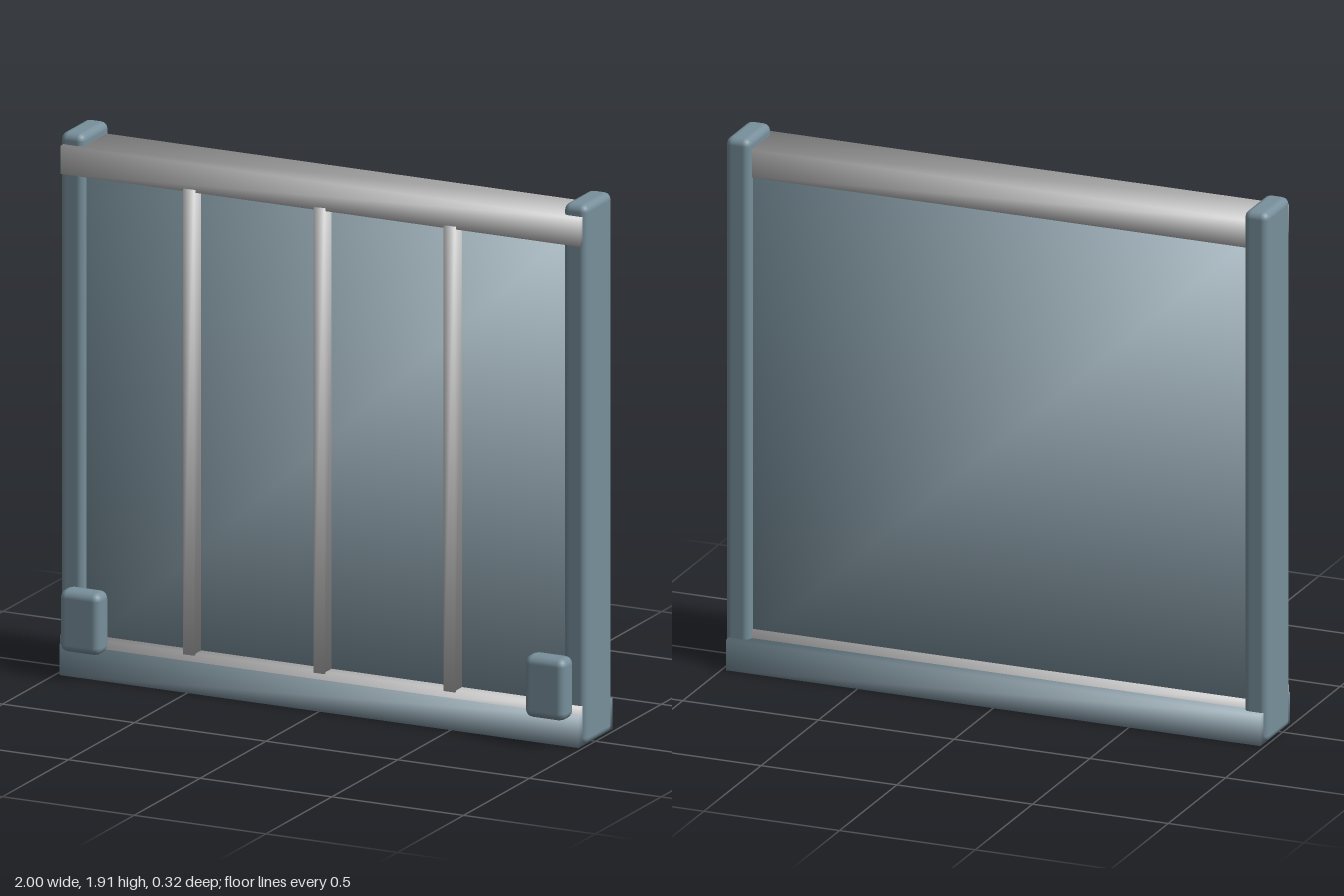
import * as THREE from 'three';
import { RoundedBoxGeometry } from 'three/addons/geometries/RoundedBoxGeometry.js';

// Box spanning lo..hi whose corner normals point outward, for soft shading
function softBox(lo, hi) {
  const size = hi.map((v, i) => v - lo[i]);
  const geo = new THREE.BoxGeometry(...size);
  const p = geo.attributes.position;
  const n = new THREE.Vector3();
  for (let i = 0; i < p.count; i++) {
    n.set(Math.sign(p.getX(i)), Math.sign(p.getY(i)), Math.sign(p.getZ(i))).normalize();
    geo.attributes.normal.setXYZ(i, n.x, n.y, n.z);
  }
  return geo.translate(...lo.map((v, i) => v + size[i] / 2));
}

// Rounded block spanning lo..hi
function roundBox(lo, hi, radius) {
  const size = hi.map((v, i) => v - lo[i]);
  return new RoundedBoxGeometry(...size, 2, radius).translate(...lo.map((v, i) => v + size[i] / 2));
}

export function createModel() {
  const model = new THREE.Group();
  const slate = new THREE.MeshStandardMaterial({ color: 0x78909c });
  slate.name = 'slate blue';
  const silver = new THREE.MeshStandardMaterial({ color: 0xbdbdbd });
  silver.name = 'silver grey';

  const add = (name, geo, mat) => {
    const mesh = new THREE.Mesh(geo, mat);
    mesh.name = name;
    model.add(mesh);
  };

  // Main wall panel
  add('panel', softBox([-0.95, 0.06, -0.1], [0.95, 1.82, 0.045]), slate);

  // Base channel and the two light rails
  add('baseChannel', softBox([-0.985, 0, -0.16], [0.985, 0.11, 0.1]), slate);
  add('lowerRail', softBox([-0.985, 0.04, -0.11], [0.985, 0.14, 0.09]), silver);
  add('upperRail', softBox([-0.985, 1.77, -0.11], [0.985, 1.87, 0.09]), silver);

  // Vertical ribs on the front
  for (const x of [-0.495, 0, 0.495]) {
    add('rib', softBox([x - 0.021, 0.135, 0.03], [x + 0.021, 1.78, 0.1]), silver);
  }

  // Side posts and corner blocks, mirrored
  for (const [side, s] of [['left', 1], ['right', -1]]) {
    const span = (a, b) => (s > 0 ? [a, b] : [-b, -a]);
    const [p0, p1] = span(0.91, 1);
    add(side + 'Post', roundBox([p0, 0, -0.135], [p1, 1.91, 0.07], 0.026), slate);
    const [b0, b1] = span(0.805, 0.96);
    add(side + 'CornerBlock', roundBox([b0, 0.1, 0.075], [b1, 0.32, 0.16], 0.028), slate);
  }
  return model;
}
